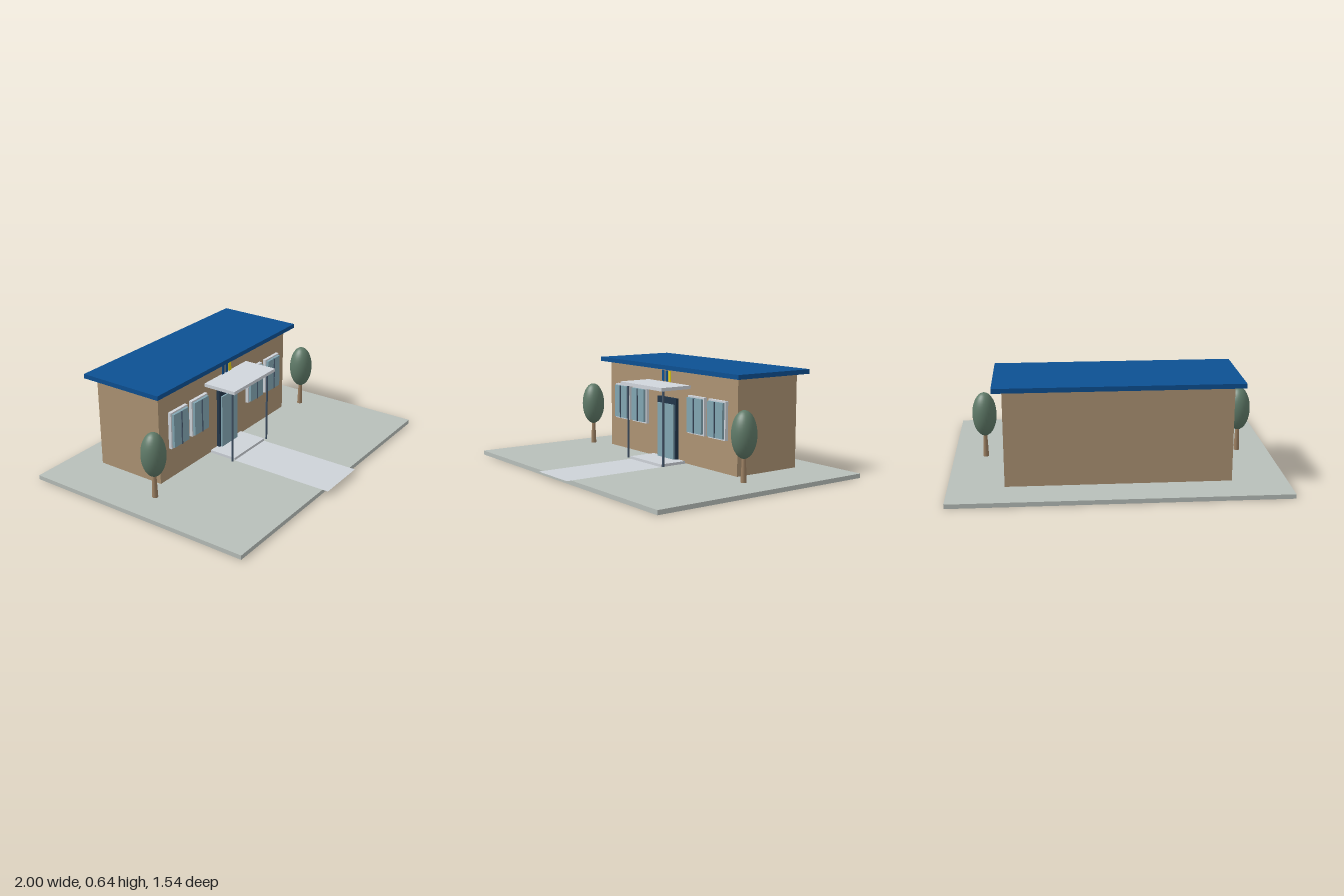
import * as THREE from 'three';

const mat = (color) => new THREE.MeshStandardMaterial({ color });
const M = {
  ground: mat(0xb8bfba), path: mat(0xcdd2d8), wall: mat(0xae9474), roof: mat(0x0c5092),
  trim: mat(0xd0d5dc), glass: mat(0x82a6b2), dark: mat(0x22364a), post: mat(0x44566a),
  trunk: mat(0x9c8062), leaf: mat(0x5f7a68), yellow: mat(0xe6d412),
};

function add(parent, name, geometry, material, x = 0, y = 0, z = 0) {
  const mesh = new THREE.Mesh(geometry, material);
  mesh.name = name;
  mesh.position.set(x, y, z);
  parent.add(mesh);
  return mesh;
}

// Box given by its min and max on each axis
function box(parent, name, material, [x0, x1], [y0, y1], [z0, z1]) {
  const g = new THREE.BoxGeometry(x1 - x0, y1 - y0, z1 - z0);
  return add(parent, name, g, material, (x0 + x1) / 2, (y0 + y1) / 2, (z0 + z1) / 2);
}

// Framed window with two panes, standing proud of the wall
function makeWindow(x) {
  const g = new THREE.Group();
  g.name = 'window';
  box(g, 'windowFrame', M.trim, [-0.08, 0.08], [0.237, 0.472], [-0.09, -0.066]);
  box(g, 'windowGlass', M.glass, [-0.07, 0.07], [0.247, 0.462], [-0.07, -0.05]);
  box(g, 'windowMullion', M.post, [-0.003, 0.003], [0.247, 0.462], [-0.06, -0.044]);
  g.position.x = x;
  return g;
}

function makeTree(x) {
  const g = new THREE.Group();
  g.name = 'tree';
  add(g, 'trunk', new THREE.CylinderGeometry(0.011, 0.018, 0.16, 16), M.trunk, 0, 0.115, 0);
  add(g, 'crown', new THREE.SphereGeometry(0.075, 32, 20), M.leaf, 0, 0.312, 0).scale.y = 1.86;
  g.position.set(x, 0, -0.021);
  return g;
}

export function createModel() {
  const model = new THREE.Group();
  model.name = 'smallOffice';

  // Ground slab, with a paper-thin path running just past its front edge
  box(model, 'groundSlab', M.ground, [-1, 1], [0, 0.027], [-0.77, 0.73]);
  const path = new THREE.PlaneGeometry(0.33, 0.77).rotateX(-Math.PI / 2);
  add(model, 'path', path, M.path, 0, 0.031, 0.385);

  // Building shell and overhanging flat roof
  box(model, 'walls', M.wall, [-0.667, 0.667], [0.035, 0.614], [-0.553, -0.087]);
  box(model, 'roof', M.roof, [-0.724, 0.724], [0.614, 0.642], [-0.603, -0.04]);

  // Entrance: step, door, canopy and posts
  box(model, 'step', M.path, [-0.165, 0.165], [0.031, 0.048], [-0.1, 0.098]);
  box(model, 'doorFrame', M.dark, [-0.098, 0.098], [0.037, 0.436], [-0.09, -0.066]);
  box(model, 'doorGlass', M.glass, [-0.084, 0.084], [0.045, 0.396], [-0.07, -0.055]);
  box(model, 'canopy', M.trim, [-0.222, 0.222], [0.509, 0.53], [-0.087, 0.136]);
  for (const side of [-1, 1]) {
    add(model, 'canopyPost', new THREE.CylinderGeometry(0.0065, 0.0065, 0.466, 16), M.post, side * 0.19, 0.27, 0.099);
  }

  // Coloured accent bars above the canopy
  [[-0.044, M.roof], [-0.009, M.roof], [0.026, M.yellow]].forEach(([x, m]) =>
    box(model, 'accentBar', m, [x - 0.011, x + 0.011], [0.536, 0.604], [-0.075, -0.071]));

  // Windows and trees, mirrored
  for (const side of [-1, 1]) {
    model.add(makeWindow(side * 0.3), makeWindow(side * 0.5), makeTree(side * 0.8));
  }
  return model;
}
